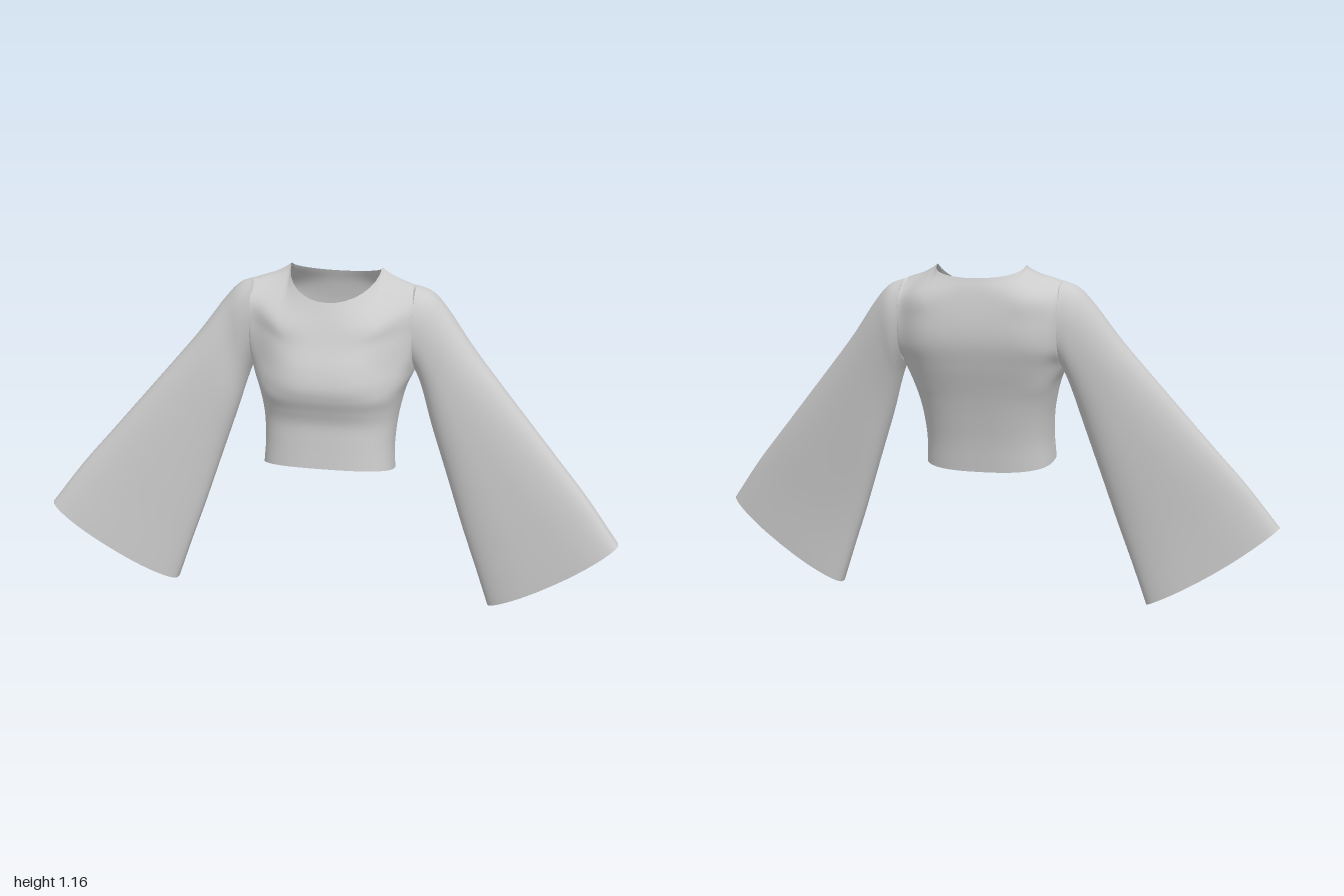
import * as THREE from 'three';
import { mergeGeometries, mergeVertices } from 'three/addons/utils/BufferGeometryUtils.js';

const V = (x, y, z) => new THREE.Vector3(x, y, z);
const { lerp } = THREE.MathUtils;
const spow = (v, p) => Math.sign(v) * Math.abs(v) ** p;
const material = new THREE.MeshStandardMaterial({ color: 0xcccccc, side: THREE.DoubleSide, roughness: 0.9 });

// Skin a grid of points (rows of equal length)
function skin(rows, flip) {
  const n = rows[0].length, index = [];
  for (let i = 0; i < rows.length - 1; i++) {
    for (let j = 0; j < n - 1; j++) {
      const a = i * n + j, b = a + 1, c = a + n, d = c + 1;
      if (flip) index.push(a, c, b, b, c, d);
      else index.push(a, b, c, b, d, c);
    }
  }
  const g = new THREE.BufferGeometry().setFromPoints(rows.flat());
  g.setIndex(index);
  return g;
}

function finish(parts, name) {
  const g = mergeVertices(mergeGeometries(parts), 1e-4);
  g.computeVertexNormals();
  const mesh = new THREE.Mesh(g, material);
  mesh.name = name;
  return mesh;
}

// Sleeve stations: outer edge xyz, inner edge xyz, half thickness, roundness
const stations = [
  [0.28, 1.11, -0.05, 0.28, 0.825, -0.05, 0.096, 2.2],
  [0.335, 1.088, -0.055, 0.298, 0.785, -0.045, 0.091, 2.2],
  [0.39, 1.03, -0.05, 0.316, 0.73, -0.036, 0.082, 2.2],
  [0.48, 0.91, -0.03, 0.345, 0.635, -0.02, 0.077, 2.3],
  [0.6, 0.768, -0.005, 0.4, 0.47, -0.005, 0.07, 2.4],
  [0.78, 0.558, 0.03, 0.46, 0.29, 0.012, 0.062, 2.6],
  [0.89, 0.43, 0.055, 0.51, 0.15, 0.022, 0.058, 2.8],
  [1.0, 0.285, 0.082, 0.56, 0.005, 0.03, 0.058, 3],
];

// Point round a sleeve station: 0 = outer edge, PI/2 = front, PI = inner edge
function ringPoint([ox, oy, oz, ix, iy, iz, h, n], theta, bulge = 0) {
  const k = (1 - spow(Math.cos(theta), 2 / n)) / 2;
  const out = bulge * 4 * k * (1 - k);
  return V(lerp(ox, ix, k) + 0.53 * out, lerp(oy, iy, k) - 0.85 * out,
    lerp(oz, iz, k) + h * spow(Math.sin(theta), 2 / n));
}

function sleeve(side, name) {
  const around = 56, along = 42, columns = [];
  for (let j = 0; j <= around; j++) {
    const theta = (j % around) / around * Math.PI * 2;
    const pts = stations.map((s, i) => ringPoint(s, theta, 0.018 * (i / 7) ** 3));
    columns.push(new THREE.CatmullRomCurve3(pts, false, 'catmullrom', 0.5));
  }
  const rows = [];
  for (let i = 0; i <= along; i++) {
    rows.push(columns.map((c) => {
      const p = c.getPoint(i / along);
      p.x *= side;
      return p;
    }));
  }
  return finish([skin(rows, side > 0)], name);
}

// Bodice rows: centre line [y, z], side seam, then armhole angles
const frontCentre = [[0.515, 0.18], [0.6, 0.173], [0.665, 0.17], [0.715, 0.183], [0.76, 0.199],
  [0.805, 0.203], [0.865, 0.185], [0.93, 0.152], [1.0, 0.12]];
const backCentre = [[0.455, -0.1], [0.55, -0.112], [0.63, -0.128], [0.7, -0.145], [0.75, -0.16],
  [0.82, -0.182], [0.9, -0.201], [0.98, -0.2], [1.07, -0.183]];
const sideSeam = [V(0.226, 0.486, 0.04), V(0.222, 0.56, 0.03), V(0.227, 0.64, 0.01),
  V(0.237, 0.7, -0.01), V(0.253, 0.765, -0.032), V(0.28, 0.825, -0.05)];
const armAngles = [1, 0.72, 0.5, 0.3, 0];
const fullness = [1, 1, 1, 1, 1, 0.8, 0.4, 0.1, 0];
const seamCurve = new THREE.CatmullRomCurve3(sideSeam, false, 'catmullrom', 0.5);

// Side edge of a panel at row t: seam up to the underarm, then the armhole
function sideEdge(t, dir) {
  if (t <= 5) return seamCurve.getPoint(t / 5);
  const i = Math.min(Math.floor(t - 5), 3);
  return ringPoint(stations[0], dir * Math.PI * lerp(armAngles[i], armAngles[i + 1], t - 5 - i));
}

// Neckline followed by the shoulder seam; u runs 0 (centre) to 1 (armhole)
function topEdge(u, dir) {
  const neck = V(0.157, 1.162, -0.075), tip = ringPoint(stations[0], 0);
  if (u > 1 / 3) {
    const k = (u - 1 / 3) * 1.5;
    const p = neck.clone().lerp(tip, k);
    p.y -= 0.012 * Math.sin(k * Math.PI) * (1 - k);
    return p;
  }
  const a = u * 1.5 * Math.PI, c = Math.cos(a);
  return dir > 0
    ? V(0.157 * Math.sin(a), 1.162 - 0.092 * c, -0.075 + 0.16 * c)
    : V(0.157 * Math.sin(a), 1.162 - 0.042 * c ** 0.8, -0.075 - 0.09 * c ** 0.8);
}

// Half panel column, u from the centre to the side
function panelColumn(u, dir, steps) {
  const centre = dir > 0 ? frontCentre : backCentre;
  const phi = u * Math.PI / 2, e = 2 / 2.6;
  const s = Math.sin(phi) ** e;
  const round = Math.max(0, Math.cos(phi)) ** e;
  const soft = 0.5 + 0.5 * Math.cos(Math.PI * s ** (dir > 0 ? 1.8 : 3));
  const pts = centre.map(([y, z], i) => {
    const q = sideEdge(i, dir), f = lerp(soft, round, fullness[i]);
    return V(q.x * s, lerp(q.y, y, f), lerp(q.z, z, f));
  });
  pts.push(topEdge(u, dir));
  const curve = new THREE.CatmullRomCurve3(pts, false, 'catmullrom', 0.5);
  return Array.from({ length: steps + 1 }, (_, i) =>
    u === 1 ? sideEdge(i / steps * 9, dir) : curve.getPoint(i / steps));
}

function panel(dir) {
  const half = 24, steps = 54, columns = [];
  for (let j = -half; j <= half; j++) {
    const column = panelColumn(Math.abs(j) / half, dir, steps);
    if (j < 0) column.forEach((p) => { p.x *= -1; });
    columns.push(column);
  }
  const rows = Array.from({ length: steps + 1 }, (_, i) => columns.map((c) => c[i]));
  return skin(rows, dir < 0);
}

export function createModel() {
  const group = new THREE.Group();
  group.name = 'croppedTop';
  group.add(finish([panel(1), panel(-1)], 'bodice'));
  group.add(sleeve(1, 'leftSleeve'), sleeve(-1, 'rightSleeve'));
  return group;
}
